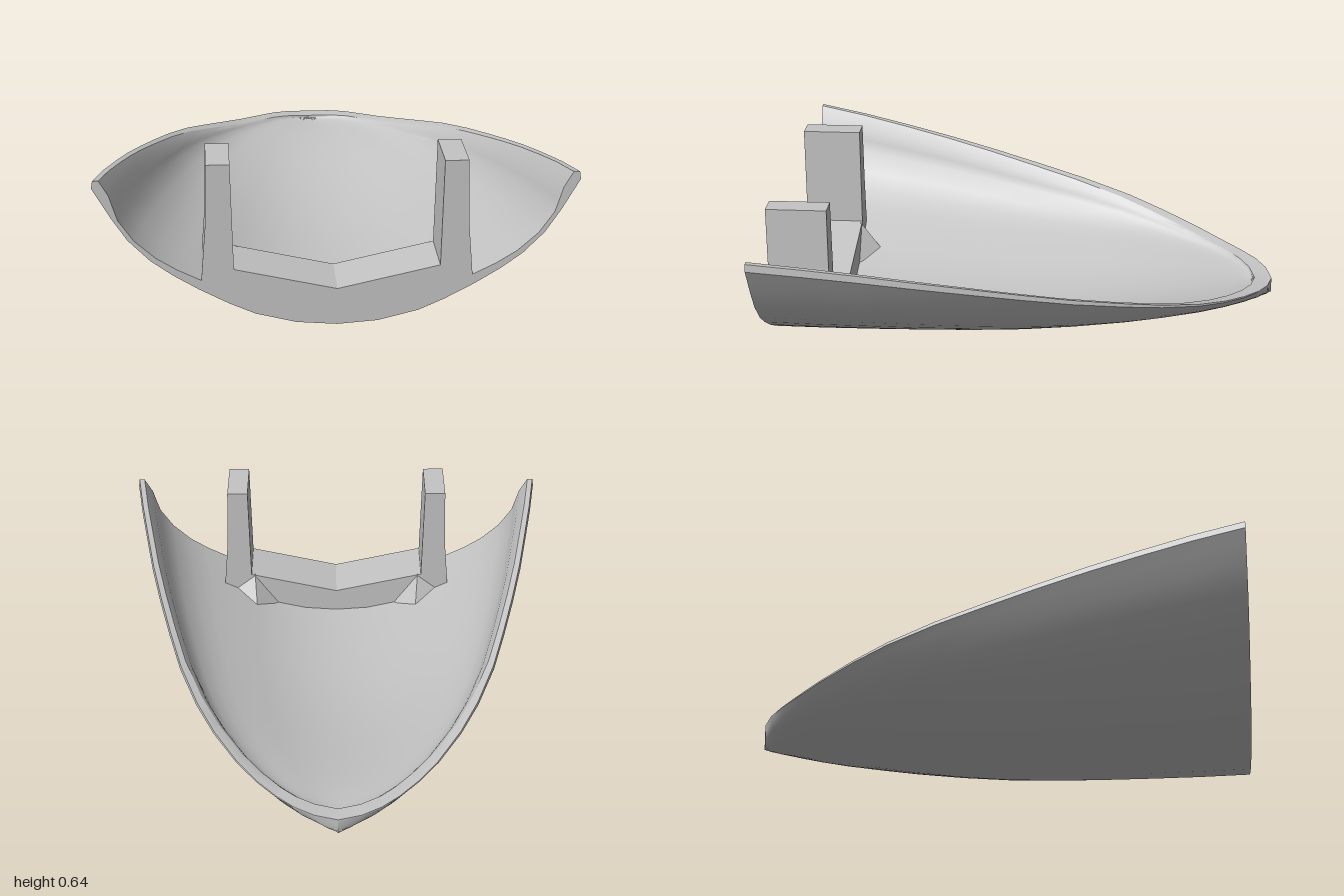
import * as THREE from 'three';
import { toCreasedNormals } from 'three/addons/utils/BufferGeometryUtils.js';
import { ConvexGeometry } from 'three/addons/geometries/ConvexGeometry.js';

// Hull stations from the open front to the rounded tip: z, half width, bottom, rim height
const STATIONS = [
  [1, 0.888, 0.008, 0.59], [0.8, 0.858, 0.004, 0.56], [0.6, 0.822, 0.003, 0.525],
  [0.4, 0.785, 0.004, 0.487], [0.2, 0.74, 0.007, 0.447], [0, 0.69, 0.016, 0.405],
  [-0.2, 0.635, 0.035, 0.363], [-0.4, 0.56, 0.06, 0.32], [-0.55, 0.485, 0.083, 0.283],
  [-0.7, 0.39, 0.104, 0.247], [-0.8, 0.31, 0.116, 0.226], [-0.88, 0.235, 0.123, 0.214],
  [-0.94, 0.165, 0.126, 0.207], [-0.98, 0.09, 0.128, 0.2], [-1, 0, 0.13, 0.193],
];
// Half cross-sections as fractions of half width and height
const OUTER = [[0, 0], [0.17, 0.02], [0.34, 0.085], [0.45, 0.16], [0.573, 0.26], [0.68, 0.36],
  [0.77, 0.46], [0.86, 0.6], [0.925, 0.75], [0.97, 0.87], [1, 0.95], [0.995, 1]];
const INNER = [[0, 0], [0.17, 0.02], [0.34, 0.085], [0.45, 0.16], [0.573, 0.255], [0.68, 0.34],
  [0.77, 0.43], [0.86, 0.56], [0.925, 0.71], [0.943, 0.8], [0.96, 0.89], [1, 1]];

const mirrored = (half) => [...half.slice(1).reverse().map(([u, v]) => [-u, v]), ...half];

// Curved shell: closed outer and inner sections joined along the length
function shellGeometry() {
  const outer = mirrored(OUTER), inner = mirrored(INNER).reverse();
  const n = outer.length, m = 2 * n, pos = [], index = [];
  const quad = (a, b, c, d) => index.push(a, b, c, a, c, d);
  for (const [z, w, bottom, rim] of STATIONS) {
    for (const [u, v] of outer) pos.push(u * w, bottom + v * (rim - bottom), z);
    const floor = bottom + 0.048;
    const zi = 1 - (1 - z) * 0.965;
    for (const [u, v] of inner) pos.push(u * w * 0.97, floor + v * (rim - floor), zi);
  }
  for (let k = 0; k < STATIONS.length - 1; k++) {
    for (let i = 0; i < m; i++) {
      const j = (i + 1) % m, a = k * m, b = a + m;
      quad(a + i, b + i, b + j, a + j);
    }
  }
  // front edge between the outer and inner skins
  for (let i = 0; i < n - 1; i++) quad(i, i + 1, m - 2 - i, m - 1 - i);
  const g = new THREE.BufferGeometry();
  g.setAttribute('position', new THREE.Float32BufferAttribute(pos, 3));
  g.setIndex(index);
  return toCreasedNormals(g, 0.45);
}

// Cross beam with two upright posts, extruded along z
function frameGeometry() {
  const half = [[0, 0.15], [0.38, 0.235], [0.39, 0.642], [0.478, 0.642], [0.483, 0.4],
    [0.5, 0.19], [0.48, 0.15], [0.3, 0.075], [0.15, 0.04], [0, 0.03]];
  const left = half.slice(1, -1).reverse().map(([x, y]) => [-x, y]);
  const shape = new THREE.Shape([...half, ...left].map(([x, y]) => new THREE.Vector2(x, y)));
  const g = new THREE.ExtrudeGeometry(shape, { depth: 0.24, bevelEnabled: false });
  return g.translate(0, 0, 0.76);
}

// Small pyramid brace behind a post
function braceGeometry(side) {
  const corners = [[0.25, 0.08, 0.765], [0.46, 0.16, 0.765], [0.355, 0.125, 0.68], [0.365, 0.235, 0.765]];
  return new ConvexGeometry(corners.map(([x, y, z]) => new THREE.Vector3(side * x, y, z)));
}

export function createModel() {
  const model = new THREE.Group();
  model.name = 'curvedShell';
  const grey = new THREE.MeshStandardMaterial({ color: 0xc4c4c4 });
  grey.name = 'light grey';
  const add = (name, geometry) => {
    const mesh = new THREE.Mesh(geometry, grey);
    mesh.name = name;
    model.add(mesh);
  };
  add('shell', shellGeometry());
  add('beamAndPosts', frameGeometry());
  add('leftBrace', braceGeometry(1));
  add('rightBrace', braceGeometry(-1));
  return model;
}
